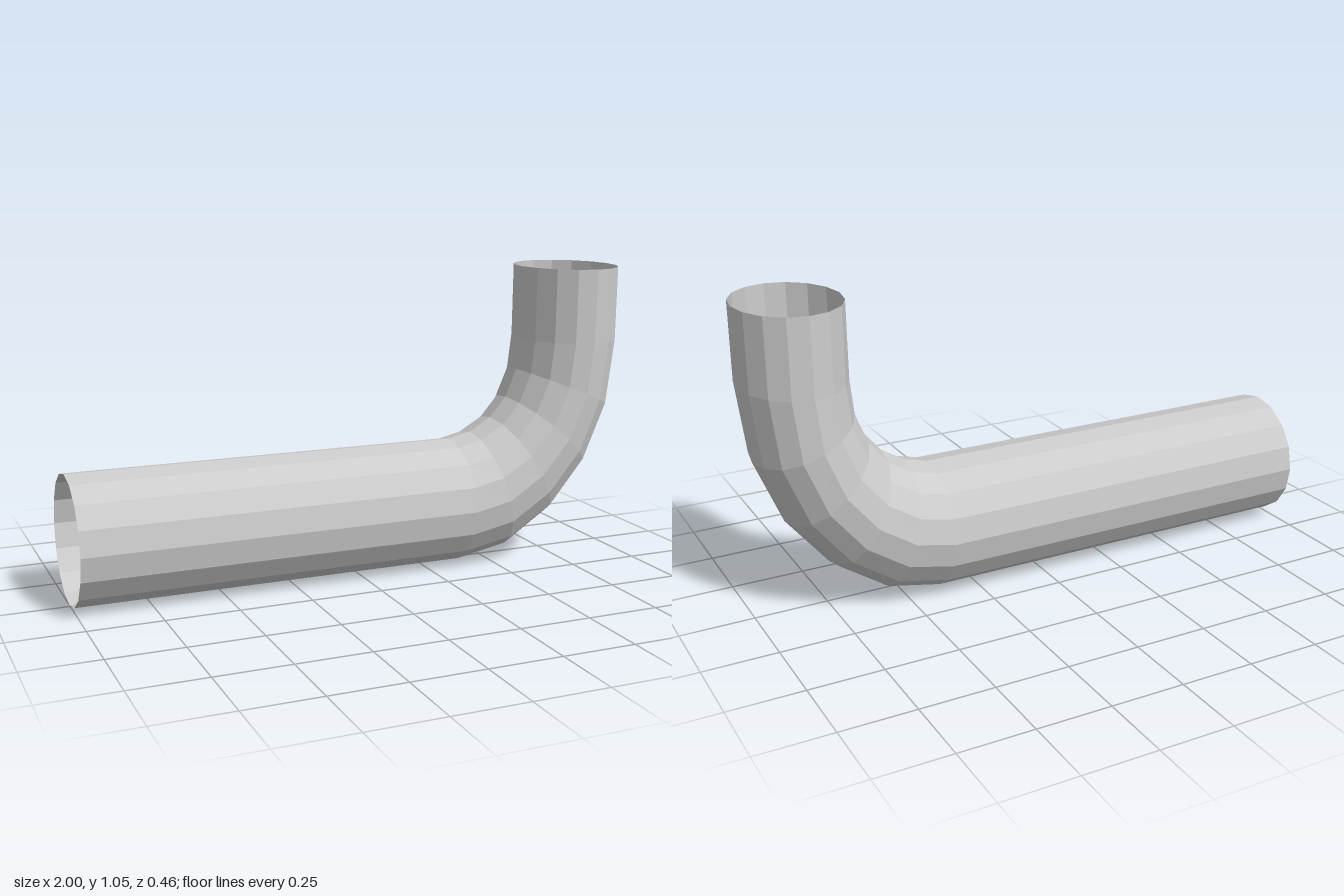
import * as THREE from 'three';

const SIDES = 16;
const RADIUS_Z = 0.218;

// Cross-sections along the pipe: outer-bend point, inner-bend point, z centre
const RINGS = [
  { outer: [-1.0, 0.0], inner: [-1.0, 0.44], z: -0.013 },
  { outer: [0.38, 0.0], inner: [0.38, 0.44], z: -0.013 },
  { outer: [0.57, 0.037], inner: [0.46, 0.46], z: -0.01 },
  { outer: [0.74, 0.15], inner: [0.54, 0.508], z: -0.006 },
  { outer: [0.88, 0.322], inner: [0.6, 0.58], z: -0.002 },
  { outer: [0.97, 0.54], inner: [0.64, 0.68], z: 0.003 },
  { outer: [1.0, 0.79], inner: [0.65, 0.79], z: 0.008 },
  { outer: [1.0, 1.05], inner: [0.65, 1.05], z: 0.012 },
];

// Skin the elliptical cross-sections into an open tube
function pipeGeometry() {
  const positions = [];
  const indices = [];
  for (const { outer, inner, z } of RINGS) {
    for (let i = 0; i < SIDES; i++) {
      const a = (i / SIDES) * Math.PI * 2;
      const t = (1 - Math.cos(a)) / 2; // 0 at the outer bend, 1 at the inner bend
      positions.push(
        THREE.MathUtils.lerp(outer[0], inner[0], t),
        THREE.MathUtils.lerp(outer[1], inner[1], t),
        z + RADIUS_Z * Math.sin(a)
      );
    }
  }
  for (let r = 0; r < RINGS.length - 1; r++) {
    for (let i = 0; i < SIDES; i++) {
      const j = (i + 1) % SIDES;
      const a = r * SIDES + i;
      const b = r * SIDES + j;
      const c = a + SIDES;
      const d = b + SIDES;
      indices.push(a, c, b, b, c, d);
    }
  }
  const geometry = new THREE.BufferGeometry();
  geometry.setAttribute('position', new THREE.Float32BufferAttribute(positions, 3));
  geometry.setIndex(indices);
  geometry.computeVertexNormals();
  return geometry;
}

export function createModel() {
  const group = new THREE.Group();
  group.name = 'elbowPipe';
  const material = new THREE.MeshStandardMaterial({
    color: 0xcccccc,
    flatShading: true,
    side: THREE.DoubleSide,
  });
  const pipe = new THREE.Mesh(pipeGeometry(), material);
  pipe.name = 'pipe';
  group.add(pipe);
  return group;
}
